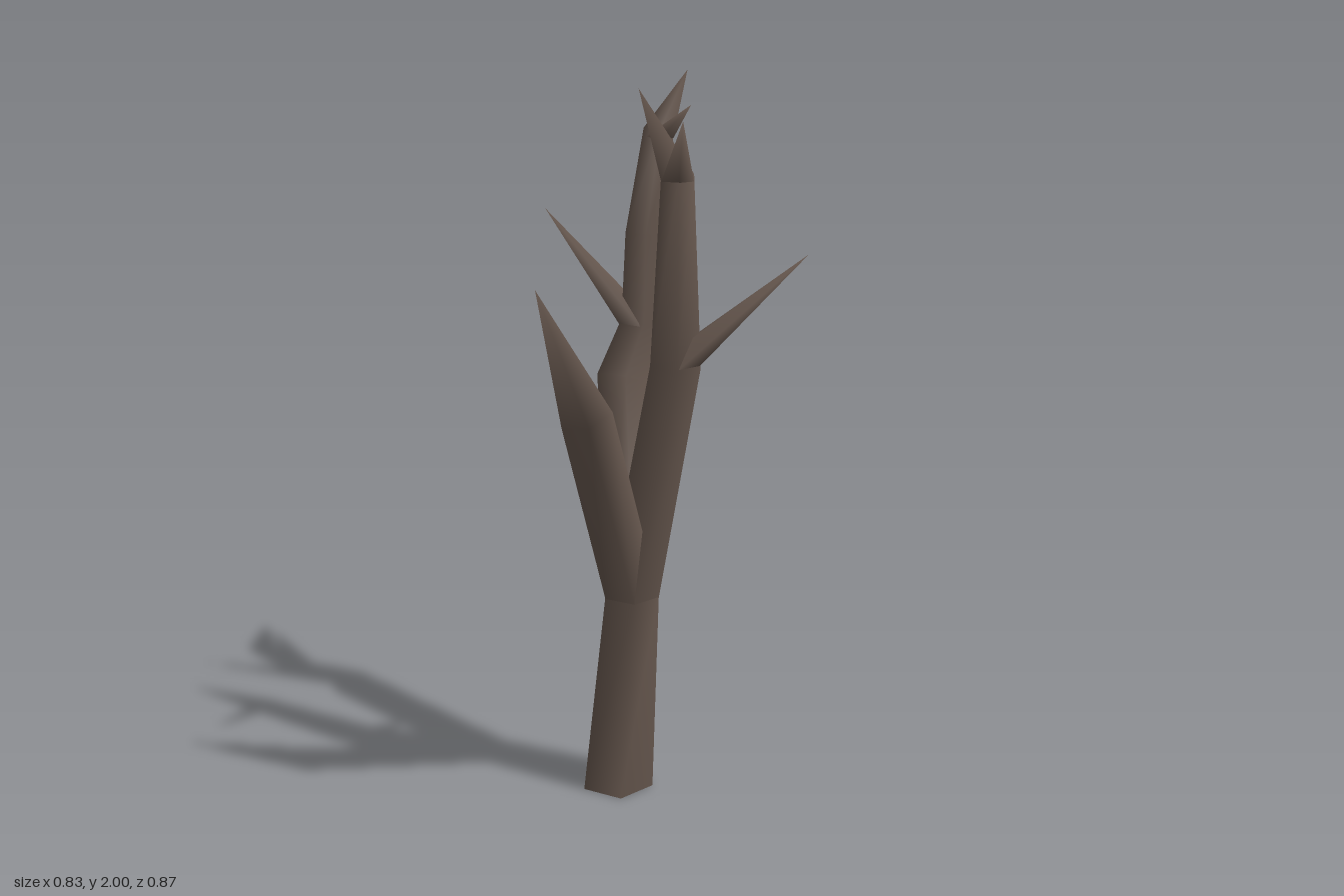
import * as THREE from 'three';

const SIDES = 5;
const TURN = THREE.MathUtils.degToRad(53); // rotation of the five-sided section

// Tapered limb through points [x, y, z, radius]; radius 0 closes to a point.
// The first ring lies flat so that limbs leaving one joint share their section.
function limbGeometry(points) {
  const centres = points.map(([x, y, z]) => new THREE.Vector3(x, y, z));
  const positions = [], index = [];
  points.forEach(([x, y, z, r], i) => {
    if (r === 0) { positions.push(x, y, z); return; }
    const t = new THREE.Vector3(0, 1, 0);
    if (i > 0 && i < points.length - 1) {
      const before = centres[i].clone().sub(centres[i - 1]).normalize();
      const after = centres[i + 1].clone().sub(centres[i]).normalize();
      t.copy(before.add(after).normalize());
    }
    const u = new THREE.Vector3(1, 0, 0).addScaledVector(t, -t.x).normalize();
    const v = u.clone().cross(t);
    for (let k = 0; k < SIDES; k++) {
      const a = TURN + (k / SIDES) * Math.PI * 2;
      const p = centres[i].clone().addScaledVector(u, r * Math.cos(a)).addScaledVector(v, r * Math.sin(a));
      positions.push(p.x, p.y, p.z);
    }
  });
  for (let i = 0; i < points.length - 1; i++) {
    for (let k = 0; k < SIDES; k++) {
      const a = i * SIDES + k, b = i * SIDES + (k + 1) % SIDES;
      if (points[i + 1][3] === 0) index.push(a, (i + 1) * SIDES, b);
      else index.push(a, a + SIDES, b, b, a + SIDES, b + SIDES);
    }
  }
  const geometry = new THREE.BufferGeometry();
  geometry.setAttribute('position', new THREE.Float32BufferAttribute(positions, 3));
  geometry.setIndex(index);
  geometry.computeVertexNormals();
  return geometry;
}

export function createModel() {
  const tree = new THREE.Group();
  tree.name = 'bareTree';
  const bark = new THREE.MeshStandardMaterial({ color: 0x66574e });
  bark.name = 'bark';

  const limbs = {
    trunk: [[-0.106, 0, 0.09, 0.104], [-0.066, 0.59, 0.072, 0.079]],
    // tall limb at the back with three side twigs
    backBranch: [
      [-0.066, 0.58, 0.072, 0.079], [-0.213, 1.15, -0.125, 0.078], [-0.18, 1.31, -0.178, 0.062],
      [-0.172, 1.56, -0.178, 0.055], [-0.176, 1.83, -0.265, 0.046], [-0.177, 2, -0.437, 0],
    ],
    backLowTwig: [[-0.183, 1.3, -0.172, 0.058], [-0.42, 1.63, -0.055, 0]],
    backMiddleTwig: [[-0.175, 1.55, -0.178, 0.053], [-0.262, 1.81, -0.395, 0]],
    backHighTwig: [[-0.174, 1.82, -0.262, 0.045], [-0.032, 1.92, -0.2, 0]],
    // forked limb on the left
    sideBranch: [
      [-0.066, 0.58, 0.072, 0.079], [0.118, 1.28, 0.152, 0.07],
      [0.098, 1.76, 0.106, 0.046], [-0.02, 1.98, 0.098, 0],
    ],
    sideLowTwig: [[0.12, 1.28, 0.152, 0.066], [0.415, 1.57, -0.024, 0]],
    sideHighTwig: [[0.098, 1.75, 0.106, 0.045], [0.22, 1.92, 0.29, 0]],
    // short limb at the front
    frontBranch: [[-0.066, 0.58, 0.072, 0.079], [-0.02, 1.17, 0.365, 0.072], [-0.122, 1.5, 0.437, 0]],
  };
  for (const [name, points] of Object.entries(limbs)) {
    const mesh = new THREE.Mesh(limbGeometry(points), bark);
    mesh.name = name;
    tree.add(mesh);
  }

  // flat underside of the trunk
  const base = new THREE.Mesh(new THREE.CircleGeometry(0.104, SIDES, TURN), bark);
  base.name = 'trunkBase';
  base.rotation.x = Math.PI / 2;
  base.position.set(-0.106, 0, 0.09);
  tree.add(base);

  return tree;
}
